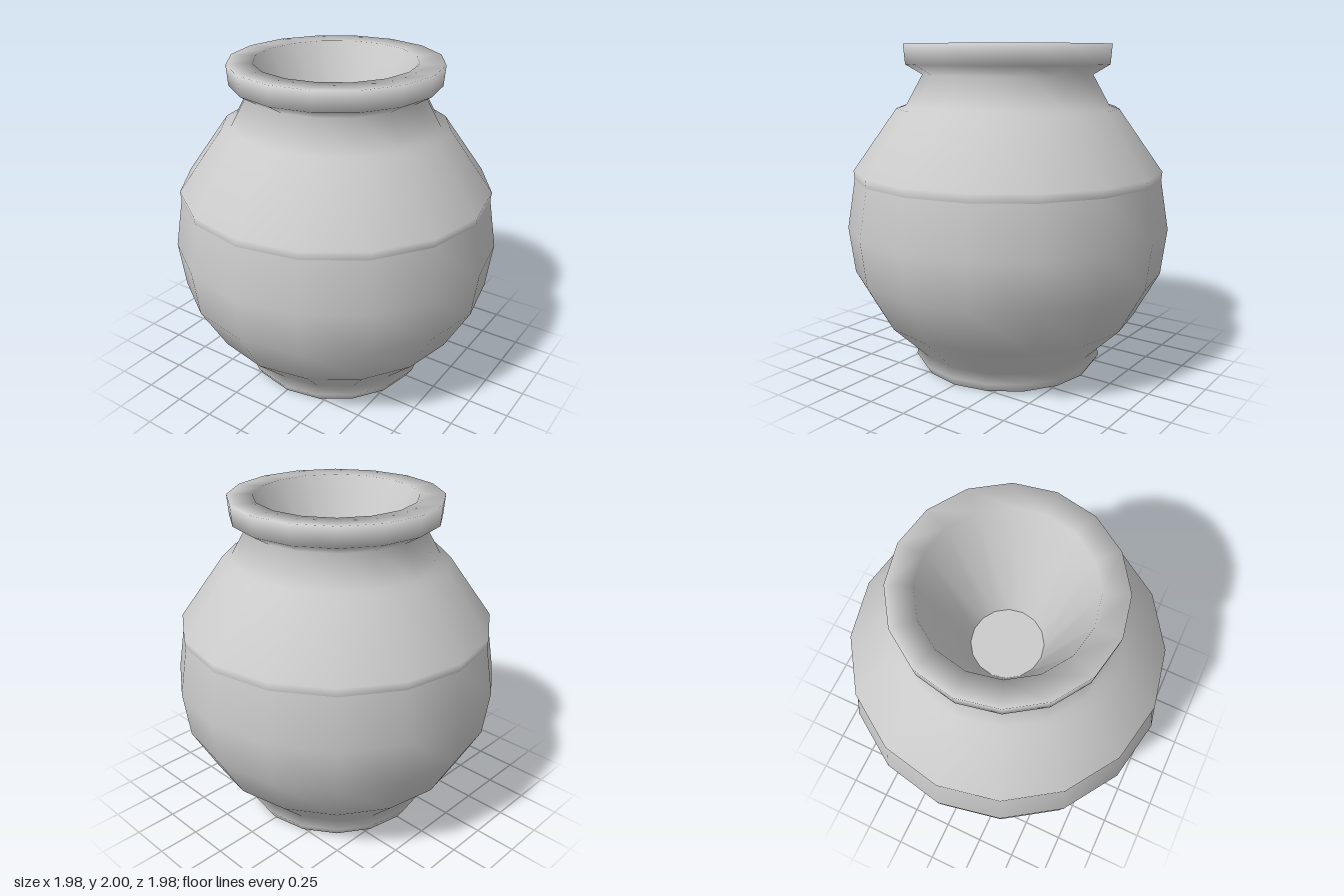
import * as THREE from 'three';

const SIDES = 16;

export function createModel() {
  const jar = new THREE.Group();
  jar.name = 'jar';
  const material = new THREE.MeshStandardMaterial({ color: 0xcccccc });

  // Each part is turned from a profile of [radius, height]; separate parts keep a crease between them
  const turn = (name, profile) => {
    const points = profile.map(([r, y]) => new THREE.Vector2(r, y));
    const mesh = new THREE.Mesh(new THREE.LatheGeometry(points, SIDES), material);
    mesh.name = name;
    jar.add(mesh);
  };

  turn('base', [[0, 0], [0.55, 0]]);

  // Foot ring and round belly
  turn('belly', [
    [0.55, 0], [0.59, 0.06], [0.575, 0.12], [0.8, 0.34],
    [0.955, 0.62], [0.99, 0.9], [0.94, 1.2],
  ]);

  // Sloping shoulder, stepped collar, neck, flared rim and inside wall
  turn('shoulderAndRim', [
    [0.94, 1.2], [0.945, 1.25], [0.68, 1.62], [0.62, 1.64], [0.52, 1.82],
    [0.62, 1.88], [0.63, 2], [0.48, 2], [0.22, 1.25],
  ]);

  turn('insideFloor', [[0.22, 1.25], [0, 1.25]]);

  return jar;
}
